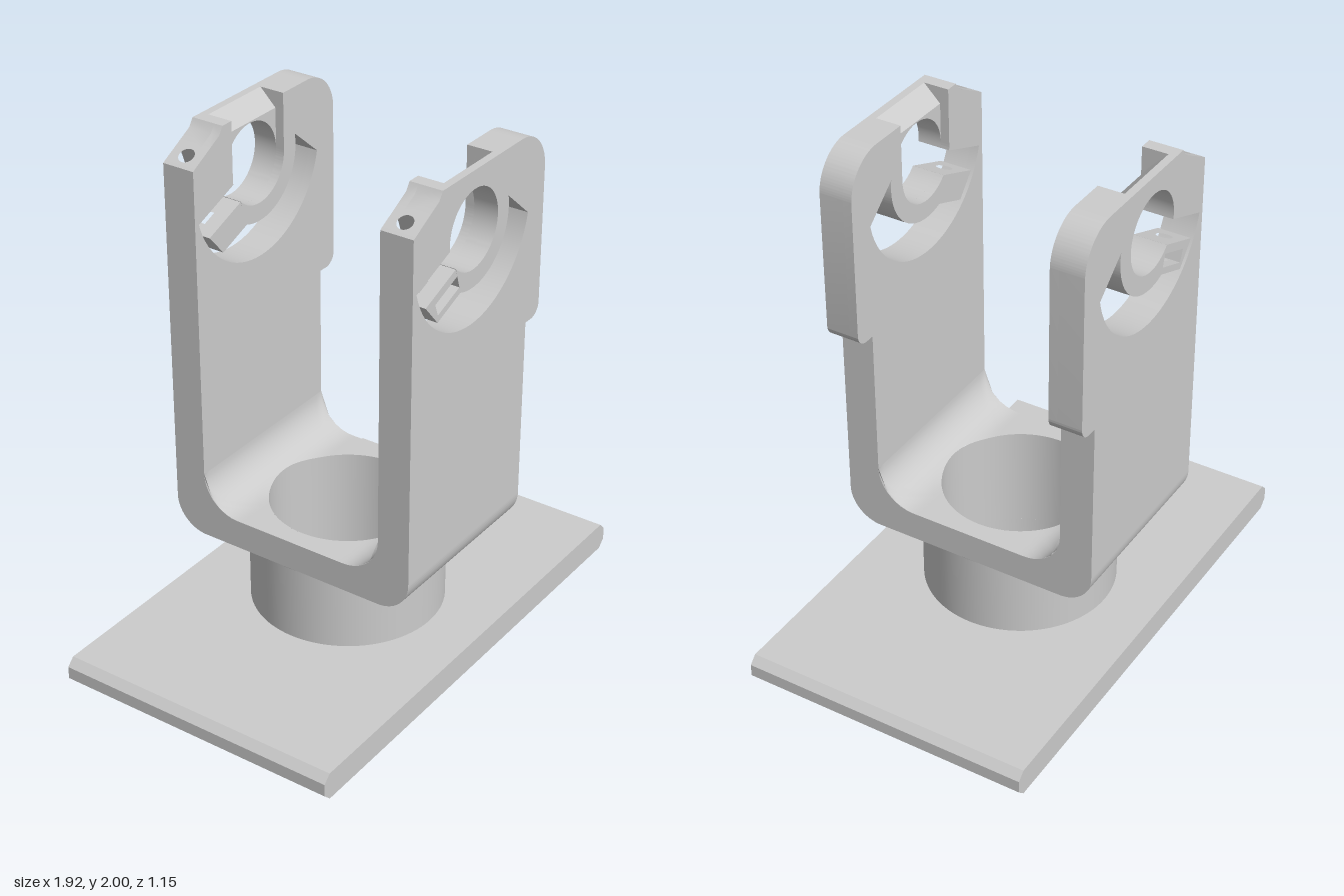
import * as THREE from 'three';
import { toCreasedNormals } from 'three/addons/utils/BufferGeometryUtils.js';

const mat = new THREE.MeshStandardMaterial({ color: 0xcccccc });
const matDouble = new THREE.MeshStandardMaterial({ color: 0xcccccc, side: THREE.DoubleSide });

const HX = 0.368, ZI = 0.385, ZO = 0.515;        // yoke half width, inner and outer cheek faces
const FLOOR = 0.525, UNDER = 0.41, RI = 0.15;    // yoke floor, underside, inner fillet
const CY = 1.78, BORE = 0.15, RING = 0.22, WINDOW = 0.36, HOLE = 0.295;
const TILT = 0.366;                              // clamp split angle
const GAP = 0.032, TAB_TOP = -0.058, TAB_LOW = -0.165, BOLT = -0.25, BAND = 0.04;
const slantV = u => 0.235 + (u + 0.306) * 0.124; // sloped shoulder in clamp coordinates

const vec = ([x, y]) => new THREE.Vector2(x, y);
const polygon = pts => new THREE.Shape(pts.map(vec));
const tilted = (u, v) => [
  u * Math.cos(TILT) - v * Math.sin(TILT),
  CY + u * Math.sin(TILT) + v * Math.cos(TILT)];
const leftAngle = (v, r) => Math.PI - Math.asin(v / r) + TILT;

function extrude(shape, depth) {
  return new THREE.ExtrudeGeometry(shape, { depth, bevelEnabled: false, curveSegments: 40 });
}

function move(geo, rule) {
  const p = geo.attributes.position, v = new THREE.Vector3();
  for (let i = 0; i < p.count; i++) {
    rule(v.fromBufferAttribute(p, i));
    p.setXYZ(i, v.x, v.y, v.z);
  }
  return geo;
}

// Mirrors a non-indexed geometry front to back, keeping its faces outward
function mirrorZ(geo) {
  const p = geo.attributes.position, a = new THREE.Vector3(), b = new THREE.Vector3();
  geo.scale(1, 1, -1);
  for (let i = 0; i < p.count; i += 3) {
    a.fromBufferAttribute(p, i);
    b.fromBufferAttribute(p, i + 2);
    p.setXYZ(i, b.x, b.y, b.z);
    p.setXYZ(i + 2, a.x, a.y, a.z);
  }
  return geo;
}

function add(group, name, geo, material = mat) {
  const mesh = new THREE.Mesh(geo, material);
  mesh.name = name;
  group.add(mesh);
}

// Height of the yoke's inside surface
function floorY(z) {
  const d = Math.min(RI, Math.max(0, Math.abs(z) - (ZI - RI)));
  return FLOOR + RI - Math.sqrt(RI * RI - d * d);
}

// Cheek outline up to the top right corner; it steps out at yStep
function cheekStart(yStep) {
  const s = polygon([[-HX, FLOOR + RI], [HX, FLOOR + RI], [HX, yStep]]);
  s.absarc(0.405, yStep + 0.05, 0.05, -Math.PI / 2, 0, false);
  s.absarc(0.295, 1.84, 0.16, 0, Math.PI / 2, false);
  return s;
}

// Shoulder from the top down the bolt band to the split
const shoulder = [[-0.2, 2], [-0.22, 1.97], tilted(BOLT + BAND, slantV(BOLT + BAND)), tilted(BOLT + BAND, GAP)];

// Bore, clamp ring and window, back to the left edge
function cheekEnd(s, boreStart) {
  s.absarc(0, CY, BORE, boreStart, leftAngle(TAB_TOP, BORE), true);
  s.absarc(0, CY, RING, leftAngle(TAB_LOW, RING), Math.atan2(0.04, 0.215), false);
  s.absarc(0, CY, WINDOW, Math.atan2(-0.075, 0.345), leftAngle(GAP, WINDOW), true);
  for (const p of [tilted(BOLT - BAND, GAP), tilted(BOLT - BAND, slantV(BOLT - BAND)), [-HX, 1.89], [-HX, FLOOR + RI]])
    s.lineTo(...p);
  return s;
}

// Clamp lug layer: a (u, z) outline raised along the bolt axis
function lug(pts, v0, v1, hole, rule) {
  const s = polygon(pts.map(([u, z]) => [u, -z]));
  if (hole) s.holes.push(new THREE.Path().absarc(BOLT, -0.45, 0.03, 0, Math.PI * 2, true));
  const geo = extrude(s, v1 - v0).rotateX(-Math.PI / 2).translate(0, v0, 0);
  return move(geo, rule).rotateZ(TILT).translate(0, CY, 0);
}

function cheekParts(yStep) {
  const parts = [];
  // Outer layer with a closed bore and a shallow top notch
  const outer = cheekStart(yStep);
  for (const p of [[0.15, 2], [0.15, 1.935], [-0.15, 1.935], [-0.15, 2], ...shoulder]) outer.lineTo(...p);
  cheekEnd(outer, leftAngle(GAP, BORE));
  parts.push(['cheekOuterLayer', extrude(outer, ZO - 0.42).translate(0, 0, 0.42)]);

  // Inner layer with the bore open to the top
  const inner = cheekStart(yStep);
  inner.lineTo(0.15, 2);
  cheekEnd(inner, 0);
  const island = polygon([[-0.15, 2], ...shoulder]);
  island.absarc(0, CY, BORE, leftAngle(GAP, BORE), Math.PI, true);
  for (const s of [inner, island])
    parts.push(['cheekInnerLayer', extrude(s, 0.42 - ZI).translate(0, 0, ZI)]);

  // Sloped lip over the bore
  const lip = polygon([[-0.42, 1.935], [-0.485, 2], [-ZO, 2], [-ZO, 1.935]]);
  parts.push(['boreLip', extrude(lip, 0.3).rotateY(Math.PI / 2).translate(-0.15, 0, 0)]);

  // Bolt lug in the shoulder
  const box = (u0, u1) => [[u0, ZI], [u1, ZI], [u1, ZO], [u0, ZO]];
  parts.push(['boltLug', lug(box(BOLT - BAND, BOLT + BAND), GAP, 0.24, true,
    p => { if (p.y > 0.1) p.y = slantV(p.x); })]);

  // Clamp tab: drilled plates around a nut pocket
  const taper = p => { if (p.x < -0.3) p.x = -0.333 + (TAB_TOP - p.y) * 0.364; };
  const tab = box(-0.32, -0.14);
  const pocket = [[-0.32, ZI], [-0.14, ZI], [-0.14, 0.4], [-0.283, 0.4], [-0.283, ZO], [-0.32, ZO]];
  parts.push(['clampTab', lug(tab, -0.09, TAB_TOP, true, taper)]);
  parts.push(['clampTab', lug(pocket, -0.14, -0.09, false, taper)]);
  parts.push(['clampTab', lug(tab, TAB_LOW, -0.14, true, taper)]);

  // Rounded lower corner
  const corner = polygon([[-ZI, FLOOR + RI], [-ZO, FLOOR + RI]]);
  corner.absarc(-ZI, UNDER + 0.13, 0.13, Math.PI, Math.PI * 1.5, false);
  parts.push(['yokeCorner', extrude(corner, 2 * HX).rotateY(Math.PI / 2).translate(-HX, 0, 0)]);
  return parts;
}

function rectWithHole(hx, hy) {
  const s = polygon([[-hx, -hy], [hx, -hy], [hx, hy], [-hx, hy]]);
  s.holes.push(new THREE.Path().absarc(0, 0, HOLE, 0, Math.PI * 2, true));
  return s;
}

export function createModel() {
  const model = new THREE.Group();
  model.name = 'yokeStand';

  // Base plate with chamfered ends
  const base = new THREE.Group();
  base.name = 'base';
  model.add(base);
  add(base, 'basePlate', toCreasedNormals(extrude(rectWithHole(0.93, 0.575), 0.11).rotateX(-Math.PI / 2), 0.5));
  for (const s of [-1, 1]) {
    const end = polygon([[0.93, 0], [0.96, 0.03], [0.96, 0.08], [0.93, 0.11]].map(([x, y]) => [s * x, y]));
    add(base, 'baseEnd', extrude(end, 1.15).translate(0, 0, -0.575));
  }

  // Collar and through hole
  add(model, 'collar', new THREE.CylinderGeometry(0.37, 0.37, 0.3, 96, 1, true).translate(0, 0.26, 0));
  add(model, 'throughHole', move(new THREE.CylinderGeometry(HOLE, HOLE, 1, 96, 1, true),
    p => { p.y = p.y > 0 ? floorY(p.z) : 0; }), matDouble);

  const yoke = new THREE.Group();
  yoke.name = 'yoke';
  model.add(yoke);

  // Yoke floor: a ring stretched to a rectangle and curved up at the cheeks
  const floor = new THREE.RingGeometry(1, 2, 128, 12).rotateX(-Math.PI / 2);
  move(floor, p => {
    const r = Math.hypot(p.x, p.z), c = p.x / r, s = p.z / r;
    const t = 1 - (2 - r) ** 2, m = Math.max(Math.abs(c), Math.abs(s));
    p.x = HOLE * c * (1 - t) + HX * c / m * t;
    p.z = HOLE * s * (1 - t) + ZI * s / m * t;
    p.y = floorY(p.z);
  });
  floor.computeVertexNormals();
  add(yoke, 'yokeFloor', floor, matDouble);
  add(yoke, 'yokeUnderside', new THREE.ShapeGeometry(rectWithHole(HX, ZI), 48).rotateX(Math.PI / 2).translate(0, UNDER, 0));

  // Flat ends of the yoke floor
  const profile = [[-ZI, UNDER], [ZI, UNDER]];
  for (let i = 0; i <= 48; i++) {
    const z = ZI * Math.sin(Math.PI / 2 * (1 - i / 24));
    profile.push([z, floorY(z)]);
  }
  for (const s of [-1, 1])
    add(yoke, 'yokeFloorEnd', new THREE.ShapeGeometry(polygon(profile)).rotateY(s * Math.PI / 2).translate(s * HX, 0, 0));

  // Front and back cheeks, stepping out at different heights
  for (const [name, yStep, back] of [['frontCheek', 1.26, false], ['backCheek', 1.2, true]]) {
    const cheek = new THREE.Group();
    cheek.name = name;
    yoke.add(cheek);
    for (const [part, geo] of cheekParts(yStep))
      add(cheek, part, toCreasedNormals(back ? mirrorZ(geo) : geo, 0.5));
  }
  return model;
}
